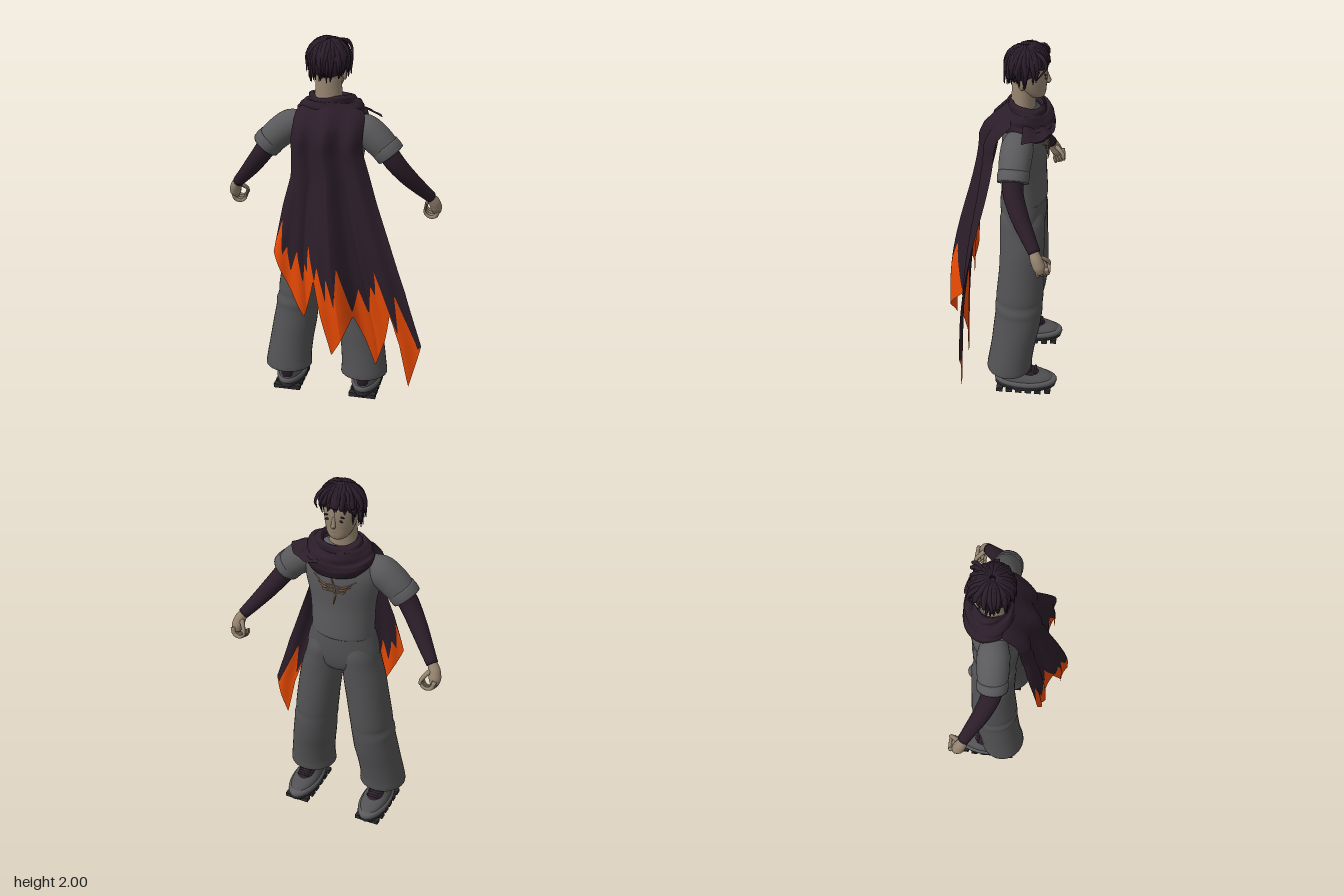
import * as THREE from 'three';

const mat = (name, color, side = THREE.FrontSide) => {
  const m = new THREE.MeshStandardMaterial({ color, side });
  m.name = name;
  return m;
};

// Piecewise linear lookup in a table of [x, y] pairs
const lin = (t, x) => {
  if (x <= t[0][0]) return t[0][1];
  for (let i = 1; i < t.length; i++) {
    if (x <= t[i][0]) {
      const [a, p] = t[i - 1], [b, q] = t[i];
      return p + (q - p) * (x - a) / (b - a);
    }
  }
  return t[t.length - 1][1];
};

// Smooth surface from f(u, v) => [x, y, z]; wrap closes it in u
function grid(nu, nv, f, wrap = false) {
  const pos = [], idx = [], w = wrap ? nu : nu + 1;
  for (let j = 0; j <= nv; j++) for (let i = 0; i < w; i++) pos.push(...f(i / nu, j / nv));
  for (let j = 0; j < nv; j++) for (let i = 0; i < nu; i++) {
    const a = j * w + i, b = j * w + (i + 1) % w, c = a + w, d = b + w;
    idx.push(a, c, b, b, c, d);
  }
  const g = new THREE.BufferGeometry();
  g.setAttribute('position', new THREE.Float32BufferAttribute(pos, 3));
  g.setIndex(idx);
  g.computeVertexNormals();
  return g;
}

// Horizontal elliptical rings [x, y, z, rx, rz], listed bottom to top
function loft(rings, seg = 32, steps = 4) {
  const at = (k, t) => {
    const n = rings.length - 1, i = Math.min(Math.floor(t * n), n - 1), f = t * n - i;
    const p = (j) => rings[Math.max(0, Math.min(n, j))][k];
    const a = p(i), b = p(i + 1), m0 = (b - p(i - 1)) / 2, m1 = (p(i + 2) - a) / 2;
    return a + m0 * f + (3 * (b - a) - 2 * m0 - m1) * f * f + (2 * (a - b) + m0 + m1) * f ** 3;
  };
  return grid(seg, (rings.length - 1) * steps, (u, v) => {
    const a = u * Math.PI * 2;
    return [at(0, v) + at(3, v) * Math.cos(a), at(1, v), at(2, v) + at(4, v) * Math.sin(a)];
  }, true);
}

// Round limb through points with varying radii
function limb(pts, radii, seg = 16, steps = 16) {
  const c = new THREE.CatmullRomCurve3(pts.map((p) => new THREE.Vector3(...p)));
  const fr = c.computeFrenetFrames(steps);
  const table = radii.map((r, i) => [i / (radii.length - 1), r]);
  return grid(seg, steps + 2, (u, v) => {
    const j = Math.round(v * (steps + 2)) - 1, i = Math.max(0, Math.min(steps, j));
    const r = j !== i ? 0.0001 : lin(table, i / steps), a = u * Math.PI * 2;
    return c.getPoint(i / steps).addScaledVector(fr.normals[i], r * Math.cos(a))
      .addScaledVector(fr.binormals[i], -r * Math.sin(a)).toArray();
  }, true);
}

export function createModel() {
  const root = new THREE.Group();
  const shirt = mat('shirt grey', 0x5a5a5c), pants = mat('trouser grey', 0x525254);
  const cloth = mat('dark plum cloth', 0x2b1d29, THREE.DoubleSide), flame = mat('flame orange', 0xea4a04, THREE.DoubleSide);
  const skin = mat('skin', 0x95836f), hair = mat('hair', 0x2a1d2a);
  const sole = mat('sole black', 0x2a2a2d), lip = mat('lip', 0x7a5d50), thread = mat('bronze thread', 0x7a6048);
  const add = (name, geo, m, parent = root) => {
    const o = new THREE.Mesh(geo, m);
    o.name = name;
    parent.add(o);
    return o;
  };
  const ball = (name, m, p, s, parent = root) => {
    const o = add(name, new THREE.SphereGeometry(1, 20, 14), m, parent);
    o.position.set(...p);
    o.scale.set(...s);
    return o;
  };

  // Shirt body and trouser seat
  add('shirt', loft([[0, 1.155, -0.095, 0.14, 0.09], [0, 1.142, -0.095, 0.168, 0.117], [0, 1.18, -0.095, 0.17, 0.12],
    [0, 1.32, -0.095, 0.176, 0.113], [0, 1.45, -0.097, 0.199, 0.118], [0, 1.53, -0.095, 0.2, 0.115],
    [0, 1.6, -0.09, 0.165, 0.1], [0, 1.65, -0.085, 0.1, 0.075], [0, 1.68, -0.085, 0.05, 0.05]], 40), shirt);
  add('trouserSeat', loft([[0, 0.92, -0.095, 0.01, 0.06], [0, 0.935, -0.095, 0.11, 0.094], [0, 0.975, -0.095, 0.19, 0.11],
    [0, 1.04, -0.092, 0.2, 0.12], [0, 1.12, -0.09, 0.182, 0.12], [0, 1.18, -0.09, 0.163, 0.113]], 40), pants);

  // Fine sprig embroidered on the chest
  const stitch = (pts) => add('chestEmbroidery', limb(pts.map(([x, y]) =>
    [x, y, -0.098 - 0.118 * Math.sqrt(1 - (x / 0.199) ** 2)]), [0.002, 0.006, 0.002], 6, 10), thread);
  stitch([[0.0, 1.36], [-0.012, 1.42], [0, 1.48], [0.012, 1.52]]);
  for (const s of [1, -1]) for (let i = 0; i < 3; i++)
    stitch([[0, 1.475 - i * 0.02], [0.05 * s, 1.467 - i * 0.015], [(0.115 - i * 0.025) * s, 1.505 - i * 0.032]]);

  for (const s of [1, -1]) {
    const side = new THREE.Group();
    side.name = s > 0 ? 'leftLimbs' : 'rightLimbs';
    root.add(side);
    const M = (pts) => pts.map(([x, ...r]) => [x * s, ...r]);

    // Wide trouser leg with soft knee folds and rolled hem
    add('trouserLeg', loft(M([[0.213, 0.16, -0.04, 0.01, 0.01], [0.213, 0.142, -0.04, 0.115, 0.11], [0.214, 0.15, -0.04, 0.127, 0.122],
      [0.212, 0.2, -0.045, 0.123, 0.12], [0.2, 0.3, -0.06, 0.12, 0.12], [0.185, 0.4, -0.075, 0.12, 0.125],
      [0.174, 0.49, -0.085, 0.116, 0.126], [0.17, 0.53, -0.085, 0.118, 0.128], [0.162, 0.57, -0.088, 0.113, 0.125],
      [0.159, 0.61, -0.09, 0.115, 0.126], [0.142, 0.74, -0.095, 0.114, 0.12], [0.122, 0.87, -0.095, 0.113, 0.117],
      [0.106, 0.97, -0.094, 0.102, 0.117], [0.095, 1.05, -0.092, 0.092, 0.115], [0.085, 1.13, -0.09, 0.06, 0.08]])), pants, side);

    // Shoe: midsole, upper, tongue, heel tab, laces, sole and lugs
    const x = 0.215 * s;
    add('shoeMidsole', loft([[x, 0.03, -0.13, 0.06, 0.15], [x, 0.045, -0.13, 0.082, 0.172], [x, 0.066, -0.13, 0.08, 0.17], [x, 0.074, -0.13, 0.06, 0.15]]), shirt, side);
    add('shoeUpper', loft([[x, 0.06, -0.128, 0.074, 0.163], [x, 0.085, -0.117, 0.068, 0.147], [x, 0.11, -0.078, 0.055, 0.1],
      [x, 0.135, -0.05, 0.05, 0.072], [x, 0.18, -0.045, 0.045, 0.06]]), pants, side);
    add('sole', loft([[x, 0.012, -0.125, 0.01, 0.05], [x, 0.013, -0.125, 0.07, 0.155], [x, 0.03, -0.13, 0.079, 0.168], [x, 0.046, -0.13, 0.08, 0.168]]), sole, side);
    ball('tongue', cloth, [x, 0.106, -0.135], [0.046, 0.031, 0.09], side).rotation.x = -0.36;
    ball('heelTab', cloth, [x, 0.11, 0.012], [0.034, 0.05, 0.026], side);
    for (let i = 0; i < 6; i++) {
      const lug = add('lug', new THREE.BoxGeometry(i === 5 ? 0.135 : 0.15, 0.024, 0.034), sole, side);
      lug.position.set(x, 0.012, 0.01 - i * 0.053);
    }
    for (let i = 0; i < 4; i++) {
      const lace = add('lace', new THREE.CapsuleGeometry(0.006, 0.06, 4, 8), sole, side);
      lace.rotation.z = Math.PI / 2;
      lace.position.set(x, 0.144 - i * 0.009, -0.105 - i * 0.026);
    }

    // Short sleeve with cuff, then tight under-sleeve
    add('sleeve', limb(M([[0.11, 1.545, -0.08], [0.2, 1.528, -0.075], [0.265, 1.478, -0.07], [0.32, 1.422, -0.067]]),
      [0.06, 0.082, 0.081, 0.074], 24), shirt, side);
    add('sleeveCuff', limb(M([[0.297, 1.453, -0.068], [0.315, 1.43, -0.067], [0.333, 1.408, -0.067]]), [0.077, 0.08, 0.078], 24, 6), shirt, side);
    add('underSleeve', limb(M([[0.29, 1.46, -0.067], [0.35, 1.37, -0.069], [0.42, 1.275, -0.108], [0.485, 1.195, -0.158], [0.532, 1.14, -0.195]]),
      [0.054, 0.052, 0.046, 0.037, 0.03], 20, 20), cloth, side);

    // Hand with curled fingers and thumb
    add('palm', limb(M([[0.527, 1.147, -0.188], [0.548, 1.11, -0.205], [0.558, 1.075, -0.22], [0.56, 1.045, -0.232]]), [0.024, 0.031, 0.032, 0.022]), skin, side);
    for (let i = 0; i < 4; i++) {
      const z = -0.21 - i * 0.015, y = 1.03 + i * 0.006;
      add('finger', limb(M([[0.568, y + 0.03, z], [0.557, y - 0.005, z - 0.006], [0.525, y - 0.014, z - 0.01], [0.5, y + 0.006, z - 0.008], [0.497, y + 0.032, z]]),
        [0.012, 0.011, 0.009, 0.008, 0.006], 8), skin, side);
    }
    add('thumb', limb(M([[0.54, 1.115, -0.21], [0.517, 1.1, -0.238], [0.5, 1.075, -0.262], [0.497, 1.055, -0.268]]), [0.015, 0.012, 0.01, 0.007], 8), skin, side);

    // Ear, eye and brow
    ball('ear', skin, [0.085 * s, 1.815, -0.085], [0.012, 0.03, 0.02]);
    const eye = ball('eye', sole, [0.034 * s, 1.833, -0.195], [0.014, 0.005, 0.004]);
    eye.rotation.y = 0.35 * s;
    const brow = ball('brow', hair, [0.036 * s, 1.854, -0.192], [0.02, 0.004, 0.005]);
    brow.rotation.set(0, 0.35 * s, 0.1 * s);
  }

  // Neck, head and face
  add('neck', loft([[0, 1.62, -0.08, 0.085, 0.07], [0, 1.7, -0.085, 0.072, 0.062], [0, 1.8, -0.09, 0.066, 0.06]]), skin);
  add('head', loft([[0, 1.716, -0.155, 0.004, 0.004], [0, 1.721, -0.155, 0.032, 0.03], [0, 1.74, -0.145, 0.056, 0.05], [0, 1.78, -0.122, 0.074, 0.077],
    [0, 1.83, -0.11, 0.084, 0.093], [0, 1.89, -0.1, 0.088, 0.1], [0, 1.94, -0.095, 0.076, 0.085], [0, 1.97, -0.095, 0.02, 0.03]]), skin);
  add('nose', limb([[0, 1.85, -0.198], [0, 1.82, -0.206], [0, 1.803, -0.209], [0, 1.796, -0.196]], [0.007, 0.01, 0.013, 0.008], 10), skin);
  ball('mouth', lip, [0, 1.767, -0.191], [0.022, 0.006, 0.007]);

  // Hair: cap tilted back, with locks that follow the skull then hang down
  const cap = add('hairCap', new THREE.SphereGeometry(1, 32, 20, 0, Math.PI * 2, 0, Math.PI * 0.57), hair);
  cap.scale.set(0.096, 0.104, 0.099);
  cap.rotation.x = 0.4;
  cap.position.set(0, 1.868, -0.097);
  for (let layer = 0; layer < 3; layer++) for (let i = 0; i < 24; i++) {
    const a = (i + layer * 0.37) / 24 * Math.PI * 2, back = Math.sin(a);
    const wob = Math.sin(i * 12.9 + layer * 7.7), twist = 0.28 * Math.sin(i * 5.3 + layer * 2.1);
    const R = 0.098 + layer * 0.004 + 0.006 * wob;
    const end = (back > -0.45 ? 1.8 - 0.012 * back : 1.872) + 0.025 * wob + layer * 0.012;
    const pts = [0.12, 0.5, 0.95, 1.4].map((th, k) => {
      const b = a + twist * k / 3;
      return [R * Math.sin(th) * Math.cos(b) * 1.06, 1.878 + R * Math.cos(th) * (1.02 + 0.03 * wob), -0.097 + R * Math.sin(th) * Math.sin(b)];
    });
    const b = a + twist, tip = 0.095 + 0.014 * Math.sin(i * 3.1 + layer);
    pts.push([tip * Math.cos(b) * 1.06, end, -0.097 + tip * Math.sin(b)]);
    add('hairLock', limb(pts, [0.008, 0.014, 0.015, 0.012, 0.002], 6, 10), hair);
  }
  // Loose arched fringe locks
  for (const [x, o] of [[-0.08, 0.015], [-0.045, 0.005], [-0.01, 0.012], [0.03, 0.01], [0.07, 0.02], [0.095, 0.012]])
    add('fringeLock', limb([[x * 0.3, 1.975, -0.13], [x * 0.8, 1.965, -0.178], [x, 1.925, -0.197 - o * 0.4], [x * 1.15, 1.855, -0.195 + Math.abs(x) * 0.4]], [0.008, 0.011, 0.008, 0.002], 6, 10), hair);

  // Scarf wrapped in rolls, dipping at the front
  const rolls = [[0.12, 1.53], [0.16, 1.545], [0.186, 1.59], [0.184, 1.622], [0.17, 1.63], [0.165, 1.652], [0.143, 1.678],
    [0.126, 1.678], [0.12, 1.698], [0.098, 1.708], [0.08, 1.68]];
  add('scarf', grid(64, rolls.length * 4 - 4, (u, v) => {
    const a = u * Math.PI * 2, k = v * (rolls.length - 1);
    const r = lin(rolls.map((p, i) => [i, p[0]]), k), y = lin(rolls.map((p, i) => [i, p[1]]), k);
    const front = Math.max(0, -Math.sin(a)), w = 0.004 * Math.sin(a * 3 + k * 1.3);
    return [0.015 + (r + w) * Math.cos(a), y - 0.022 * front + w, -0.11 + (r * 0.76 + w) * Math.sin(a)];
  }, true), cloth);
  // Scarf end draped over the left shoulder
  add('scarfFlap', grid(20, 12, (u, v) => {
    const a = -1.25 * u, r = 0.09 + v * (0.17 - 0.1 * u);
    return [0.02 + r * Math.cos(a), 1.672 - 0.46 * (r - 0.09) + 0.04 * Math.sin(a) + 0.005 * Math.sin(u * 15), -0.1 + r * Math.sin(a)];
  }), cloth);

  // Cape: fan-shaped sheet, ragged hem and jagged flame border
  const left = [[0.5, -0.25], [0.9, -0.24], [1.15, -0.2], [1.3, -0.165], [1.5, -0.17], [1.62, -0.16], [1.69, -0.12]];
  const right = [[0.2, 0.6], [0.45, 0.56], [0.75, 0.465], [1, 0.37], [1.2, 0.29], [1.45, 0.205], [1.63, 0.205], [1.69, 0.13]];
  const hem = [[0, 0.9], [0.23, 0.55], [0.33, 0.78], [0.42, 0.38], [0.59, 0.6], [0.68, 0.3], [0.84, 0.61], [0.88, 0.2], [1, 0.45]];
  const border = [[0, 0.95], [0.03, 1.08], [0.075, 0.89], [0.11, 0.94], [0.14, 0.8], [0.2, 0.92], [0.235, 0.74], [0.255, 0.86], [0.27, 0.8], [0.295, 0.96],
    [0.34, 0.78], [0.38, 0.87], [0.42, 0.68], [0.44, 0.82], [0.48, 0.66], [0.54, 0.88], [0.59, 0.62], [0.65, 0.74], [0.69, 0.6], [0.74, 0.76],
    [0.76, 0.7], [0.8, 0.84], [0.84, 0.63], [0.865, 0.5], [0.91, 0.73], [0.95, 0.52], [0.97, 0.42], [1, 0.45]];
  const mid = [[0.8, 0.16], [1, 0.145], [1.2, 0.13], [1.4, 0.12], [1.5, 0.118], [1.56, 0.1], [1.62, 0.05], [1.69, -0.03]];
  const low = [[0, 0.18], [0.25, 0.18], [0.37, 0.25], [0.5, 0.29], [0.62, 0.2], [0.7, 0.155], [0.8, 0.18], [1, 0.185]];
  const cape = (u, y) => {
    const L = lin(left, y), R = lin(right, y), e = 2 * u - 1;
    const w = THREE.MathUtils.smoothstep(1.5 - y, 0, 0.9);
    const upper = lin(mid, y) - 0.07 * e * e + 0.02 * Math.sin(u * 16) * Math.min(1, (1.7 - y) * 5);
    return [L + (R - L) * u, y, upper * (1 - w) + lin(low, u) * w + 0.01 * w * Math.sin(u * 38)];
  };
  const top = (u) => 1.69 - 0.05 * (2 * u - 1) ** 2;
  const edge = (u) => Math.max(lin(border, u), lin(hem, u));
  add('cape', grid(160, 40, (u, v) => cape(u, edge(u) + (top(u) - edge(u)) * v)), cloth);
  add('capeFlameBorder', grid(160, 16, (u, v) => cape(u, lin(hem, u) + (edge(u) - lin(hem, u)) * v)), flame);

  return root;
}
